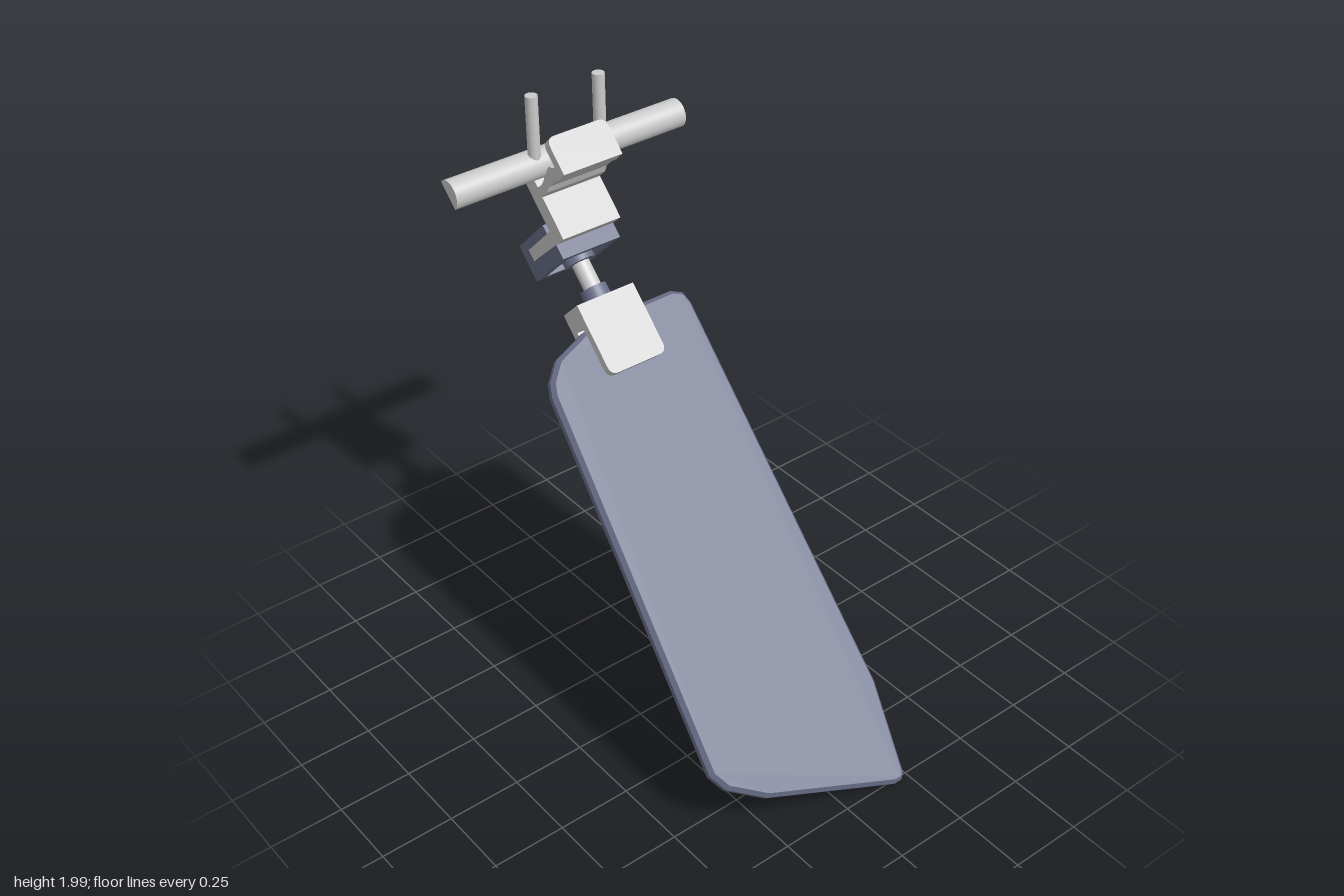
import * as THREE from 'three';

export function createModel() {
  const model = new THREE.Group();
  const grey = new THREE.MeshStandardMaterial({ color: 0xcccccc });
  const blue = new THREE.MeshStandardMaterial({ color: 0x696e88 });
  const CX = -0.002;   // middle of the mount across x
  const AXIS = 0.558;  // depth of the blade and stem axis

  // Everything but the upright pins leans 45 degrees: y runs along the blade, z is its normal
  const tilted = new THREE.Group();
  tilted.name = 'tiltedAssembly';
  tilted.rotation.x = -Math.PI / 4;
  model.add(tilted);

  const add = (parent, name, geometry, material) => {
    const mesh = new THREE.Mesh(geometry, material);
    mesh.name = name;
    parent.add(mesh);
    return mesh;
  };
  const toShape = (pts) => new THREE.Shape(pts.map(([a, b]) => new THREE.Vector2(a, b)));

  // Box given by its width and its ranges in y and z
  const box = (name, material, w, y0, y1, z0, z1, x = CX) => {
    const g = new THREE.BoxGeometry(w, y1 - y0, z1 - z0);
    g.translate(x, (y0 + y1) / 2, (z0 + z1) / 2);
    return add(tilted, name, g, material);
  };
  // Side profile of [z, y] points, extruded across x
  const acrossX = (name, material, w, shape, x = CX) => {
    const g = new THREE.ExtrudeGeometry(shape, { depth: w, bevelEnabled: false, curveSegments: 12 });
    g.translate(0, 0, -w / 2).rotateY(-Math.PI / 2).translate(x, 0, 0);
    return add(tilted, name, g, material);
  };
  // Plate with the two corners at one end rounded
  const plate = (name, material, w, yRound, yFlat, z0, z1) => {
    const d = Math.sign(yFlat - yRound), r = 0.03, h = w / 2;
    const s = new THREE.Shape();
    s.moveTo(-h, yFlat);
    s.lineTo(-h, yRound + d * r);
    s.quadraticCurveTo(-h, yRound, -h + r, yRound);
    s.lineTo(h - r, yRound);
    s.quadraticCurveTo(h, yRound, h, yRound + d * r);
    s.lineTo(h, yFlat);
    const g = new THREE.ExtrudeGeometry(s, { depth: z1 - z0, bevelEnabled: false, curveSegments: 6 });
    g.translate(CX, 0, z0);
    return add(tilted, name, g, material);
  };

  // Blade: asymmetric panel with a chamfered rim
  const outline = [
    [-0.4, -0.21], [-0.37, -0.27], [-0.255, -0.355], [0.18, -0.527], [0.21, -0.527], [0.227, -0.51],
    [0.282, -0.21], [0.296, 1.15], [0.285, 1.19], [0.245, 1.21], [0.11, 1.21], [-0.11, 1.195],
    [-0.24, 1.148], [-0.295, 1.09], [-0.311, 1.045],
  ];
  const bladeGeo = new THREE.ExtrudeGeometry(toShape(outline), {
    depth: 0.02, bevelThickness: 0.015, bevelSize: 0.013, bevelOffset: -0.013, bevelSegments: 1,
  });
  bladeGeo.translate(0, 0, AXIS - 0.01);
  add(tilted, 'blade', bladeGeo, blue);

  // Forked clamp gripping the top of the blade
  plate('clampFrontPlate', grey, 0.22, 1.032, 1.276, 0.582, 0.612);
  plate('clampBackPlate', grey, 0.22, 1.032, 1.276, 0.505, 0.535);
  box('clampBridge', grey, 0.22, 1.205, 1.276, 0.53, 0.59);

  // Stem with a collar at each end
  const turned = (name, material, pts) => {
    const g = new THREE.LatheGeometry(pts.map(([r, y]) => new THREE.Vector2(r, y)), 32);
    g.translate(CX, 0, AXIS);
    add(tilted, name, g, material);
  };
  const cylinder = (r, y0, y1) => [[0, y0], [r, y0], [r, y0], [r, y1], [r, y1], [0, y1]];
  turned('lowerCollar', blue, cylinder(0.045, 1.27, 1.316));
  turned('stem', grey, cylinder(0.03, 1.3, 1.42));
  turned('upperCollar', blue, cylinder(0.052, 1.405, 1.45));
  const ring = new THREE.TorusGeometry(0.066, 0.011, 8, 32);
  ring.rotateX(Math.PI / 2).translate(CX, 1.442, AXIS);
  add(tilted, 'socketRing', ring, blue);

  // Channel bracket, open to the front, with a raised square frame beneath
  acrossX('bracket', blue, 0.22, toShape([
    [0.445, 1.445], [0.665, 1.445], [0.665, 1.474], [0.49, 1.474],
    [0.49, 1.516], [0.643, 1.516], [0.643, 1.545], [0.445, 1.545],
  ]));
  for (const side of [-1, 1]) {
    box('bracketFrameSide', blue, 0.026, 1.418, 1.446, 0.445, 0.665, CX + side * 0.097);
    const z = 0.555 + side * 0.097;
    box('bracketFrameEnd', blue, 0.168, 1.418, 1.446, z - 0.013, z + 0.013);
  }

  // Hanger: foot inside the bracket, then a bar rising along the blade direction
  acrossX('hanger', grey, 0.22, toShape([
    [0.491, 1.475], [0.72, 1.466], [0.72, 1.738], [0.665, 1.738], [0.665, 1.515], [0.491, 1.515],
  ]));

  // Hook wall with a hollowed inner side, carrying the front flange
  const hook = toShape([[0.71, 1.612], [0.76, 1.612], [0.785, 1.622], [0.83, 1.622], [0.85, 1.616],
    [0.88, 1.616], [0.88, 1.65], [0.85, 1.66]]);
  hook.quadraticCurveTo(0.84, 1.672, 0.825, 1.667);
  hook.lineTo(0.785, 1.655);
  hook.quadraticCurveTo(0.75, 1.635, 0.71, 1.65);
  acrossX('hook', grey, 0.22, hook);
  plate('flange', grey, 0.22, 1.74, 1.616, 0.868, 0.898);
  box('rearWall', grey, 0.172, 1.708, 1.738, 0.71, 0.79);

  // Half-round crossbar, flat side to the rear
  const half = new THREE.Shape();
  half.absarc(0.786, 1.703, 0.048, -Math.PI / 2, Math.PI / 2, false);
  acrossX('crossbar', grey, 0.865, half, -0.003);

  // Upright pins standing on the crossbar
  for (const x of [-0.133, 0.115]) {
    const g = new THREE.CylinderGeometry(0.02, 0.02, 0.22, 20);
    g.translate(x, 1.89, -0.632);
    add(model, 'uprightPin', g, grey);
  }
  return model;
}
